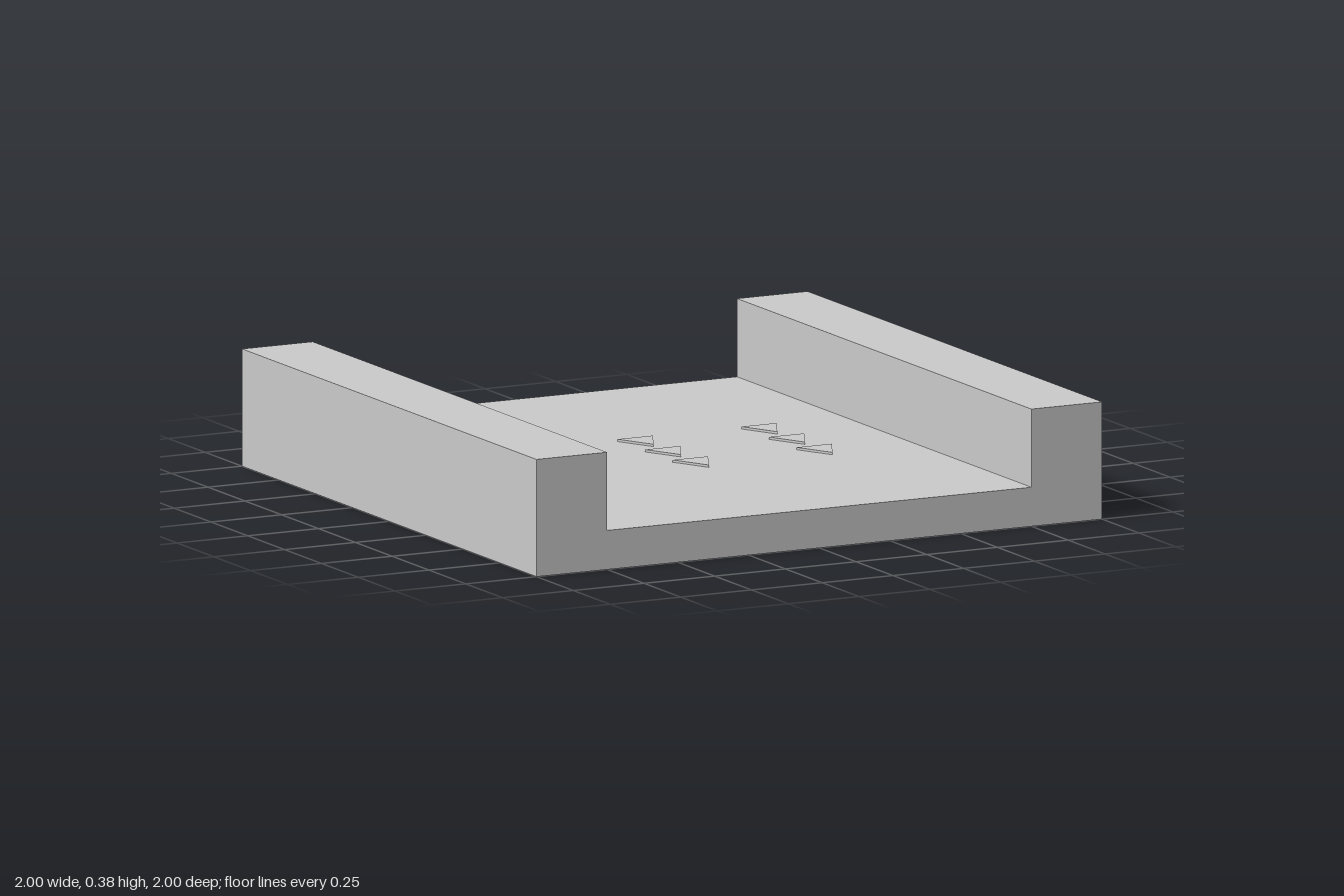
import * as THREE from 'three';

export function createModel() {
  const model = new THREE.Group();
  const material = new THREE.MeshStandardMaterial({ color: 0xcccccc, flatShading: true });
  const floorY = 0.125, wallTop = 0.375, innerX = 0.75;

  // U-shaped channel: floor and both side walls in one extrusion along z
  const profile = new THREE.Shape([
    [-1, 0], [1, 0], [1, wallTop], [innerX, wallTop], [innerX, floorY],
    [-innerX, floorY], [-innerX, wallTop], [-1, wallTop],
  ].map(([x, y]) => new THREE.Vector2(x, y)));
  const channelGeometry = new THREE.ExtrudeGeometry(profile, { depth: 2, bevelEnabled: false });
  channelGeometry.translate(0, 0, -1);
  const channel = new THREE.Mesh(channelGeometry, material);
  channel.name = 'channel';
  model.add(channel);

  // Thin raised arrow markers pointing to the front, in three lanes of three
  const r = 0.0625;
  const triangle = new THREE.Shape([
    new THREE.Vector2(-r, r), new THREE.Vector2(0, -r), new THREE.Vector2(r, r),
  ]);
  const arrowGeometry = new THREE.ExtrudeGeometry(triangle, { depth: 0.0075, bevelEnabled: false });
  arrowGeometry.rotateX(-Math.PI / 2);
  const arrows = new THREE.Group();
  arrows.name = 'arrowMarkers';
  for (const x of [-0.4375, 0, 0.4375]) {
    for (const z of [-0.1875, 0, 0.1875]) {
      const arrow = new THREE.Mesh(arrowGeometry, material);
      arrow.name = 'arrowMarker';
      arrow.position.set(x, floorY, z);
      arrows.add(arrow);
    }
  }
  model.add(arrows);
  return model;
}
